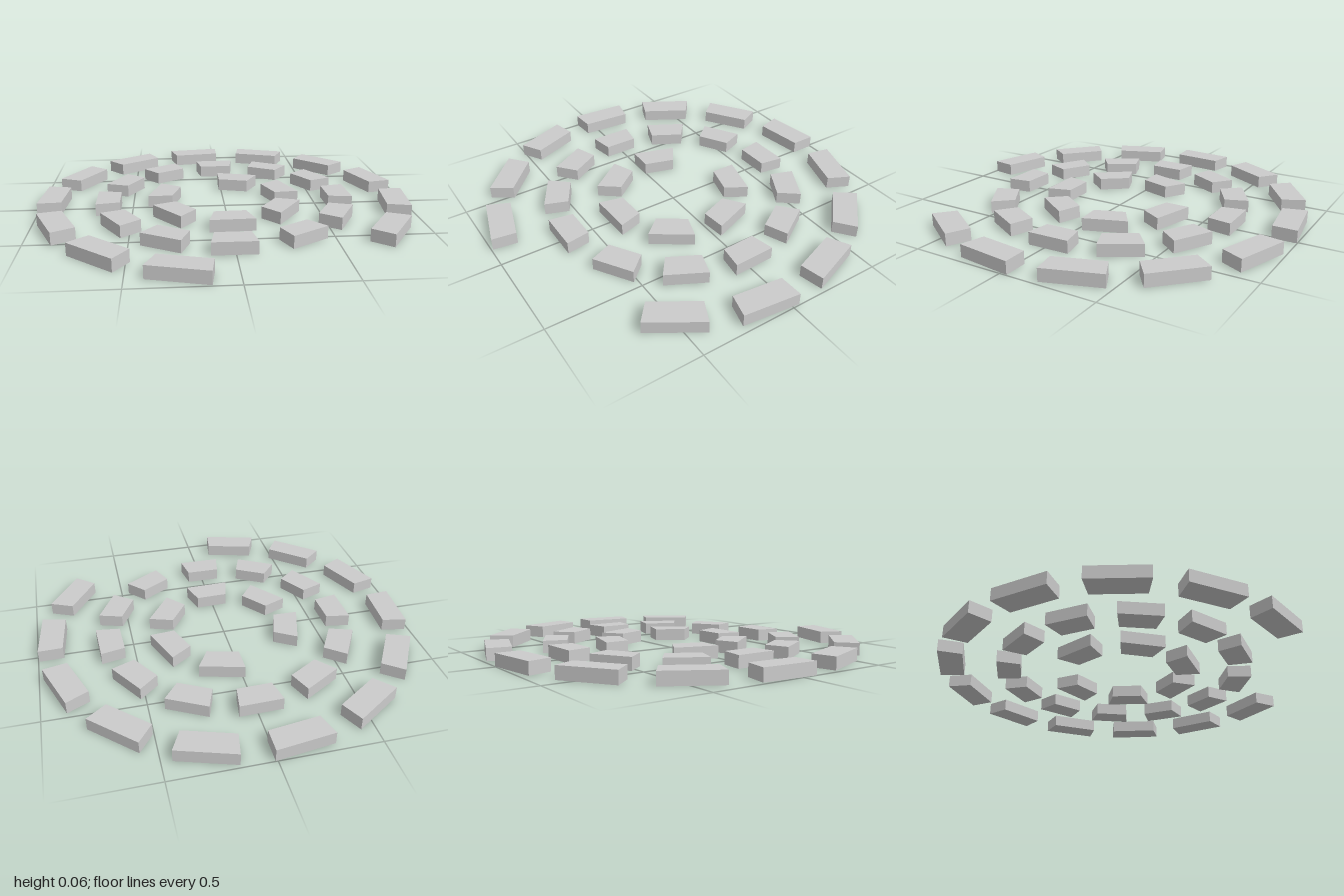
import * as THREE from 'three';

const HEIGHT = 0.065;
const DEPTH = 0.126;

// Tapered block whose wide edge faces outward (-z), standing on y = 0
function blockGeometry(outerWidth, innerWidth) {
  const o = outerWidth / 2, i = innerWidth / 2, d = DEPTH / 2;
  const shape = new THREE.Shape([
    new THREE.Vector2(-i, -d), new THREE.Vector2(i, -d),
    new THREE.Vector2(o, d), new THREE.Vector2(-o, d),
  ]);
  return new THREE.ExtrudeGeometry(shape, { depth: HEIGHT, bevelEnabled: false }).rotateX(-Math.PI / 2);
}

// Arcs of blocks; angles in degrees, clockwise from the back as seen from above
const rings = [
  { name: 'outerRing', radius: 0.925, start: 195.8, step: 26.07, count: 12, outer: 0.298, inner: 0.263 },
  { name: 'middleRing', radius: 0.624, start: 180.3, step: 29.75, count: 12, outer: 0.221, inner: 0.178 },
  { name: 'innerRing', radius: 0.333, start: 15.3, step: 54.3, count: 6, outer: 0.234, inner: 0.166 },
];

export function createModel() {
  const model = new THREE.Group();
  model.name = 'blockRings';
  const material = new THREE.MeshStandardMaterial({ color: 0xcccccc, flatShading: true });

  for (const r of rings) {
    const ring = new THREE.Group();
    ring.name = r.name;
    ring.position.set(-0.003, 0, 0.001);
    const geometry = blockGeometry(r.outer, r.inner);
    for (let k = 0; k < r.count; k++) {
      const a = THREE.MathUtils.degToRad(r.start + k * r.step);
      const block = new THREE.Mesh(geometry, material);
      block.name = `${r.name}Block${k + 1}`;
      block.position.set(r.radius * Math.sin(a), 0, -r.radius * Math.cos(a));
      block.rotation.y = -a;
      ring.add(block);
    }
    model.add(ring);
  }
  return model;
}
